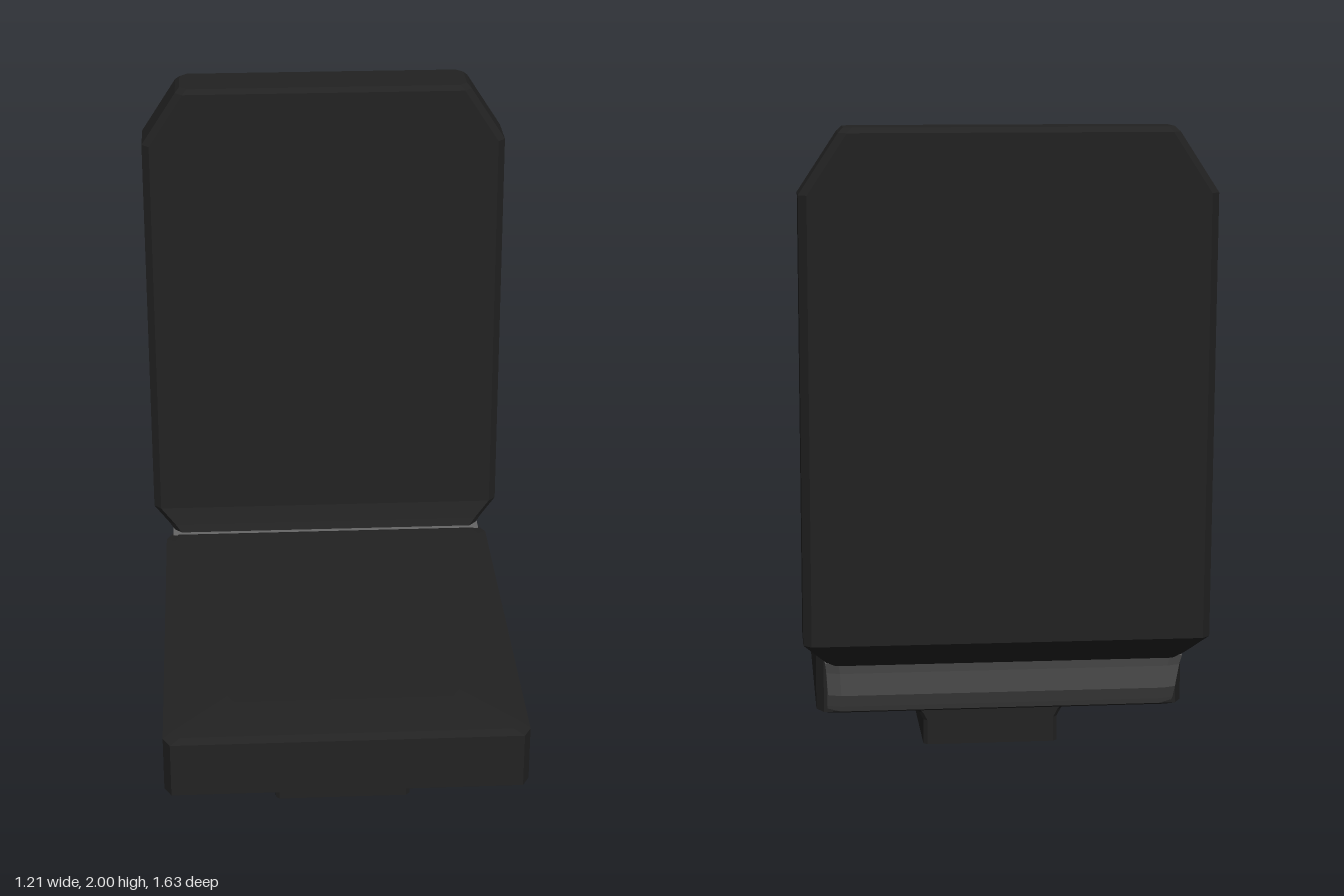
import * as THREE from 'three';

const dark = new THREE.MeshStandardMaterial({ color: 0x222222, flatShading: true });
const metal = new THREE.MeshStandardMaterial({ color: 0x666666, flatShading: true });

// Lofts chamfered rectangles, listed bottom to top as
// [y, half width, front z, back z], into a closed solid.
function loft(name, rings, cx, cz, material) {
  const positions = [];
  const index = [];
  for (const [y, w, f, b] of rings) {
    const corners = [
      [w, f - cz], [w, b + cz], [w - cx, b], [-w + cx, b],
      [-w, b + cz], [-w, f - cz], [-w + cx, f], [w - cx, f],
    ];
    for (const [x, z] of corners) positions.push(x, y, z);
  }
  const n = 8;
  for (let r = 0; r < rings.length - 1; r++) {
    for (let i = 0; i < n; i++) {
      const a = r * n + i, b = r * n + (i + 1) % n;
      index.push(a, b, b + n, a, b + n, a + n);
    }
  }
  // End caps
  const top = (rings.length - 1) * n;
  for (let i = 1; i < n - 1; i++) {
    index.push(0, i + 1, i);
    index.push(top, top + i, top + i + 1);
  }
  const geometry = new THREE.BufferGeometry();
  geometry.setAttribute('position', new THREE.Float32BufferAttribute(positions, 3));
  geometry.setIndex(index);
  const flat = geometry.toNonIndexed();
  flat.computeVertexNormals();
  const mesh = new THREE.Mesh(flat, material);
  mesh.name = name;
  return mesh;
}

export function createModel() {
  const model = new THREE.Group();
  model.name = 'seat';

  // Cushion: slightly domed above and below
  const cushion = [[0.2, 0.2], [0.208, 0.03], [0.22, 0], [0.4, 0], [0.408, 0.03], [0.422, 0.2]]
    .map(([y, inset]) => [y, 0.563 - inset, 0.82 - inset, -0.535 + inset]);
  model.add(loft('seatCushion', cushion, 0.022, 0.04, dark));

  // Backrest: leans back, with cut corners and a tapered lower edge
  model.add(loft('backrest', [
    [0.4, 0.53, -0.53, -0.67],
    [0.43, 0.555, -0.545, -0.71],
    [0.485, 0.605, -0.566, -0.768],
    [1.81, 0.605, -0.61, -0.81],
    [1.985, 0.49, -0.615, -0.815],
    [2.0, 0.475, -0.63, -0.8],
  ], 0.024, 0.025, dark));

  // Hinge: wedge joining the cushion to the backrest
  model.add(loft('hinge', [
    [0.22, 0.53, -0.5, -0.535],
    [0.245, 0.53, -0.5, -0.57],
    [0.29, 0.53, -0.5, -0.61],
    [0.37, 0.535, -0.5, -0.65],
    [0.405, 0.54, -0.5, -0.67],
  ], 0.04, 0.015, metal));

  // Pedestal: narrow foot flaring sideways up to the cushion
  model.add(loft('pedestal', [
    [0, 0.2, 0.51, -0.18],
    [0.01, 0.215, 0.55, -0.218],
    [0.09, 0.215, 0.55, -0.218],
    [0.115, 0.228, 0.55, -0.218],
    [0.165, 0.28, 0.55, -0.218],
    [0.19, 0.292, 0.55, -0.218],
    [0.21, 0.3, 0.57, -0.24],
  ], 0.012, 0.012, dark));

  return model;
}
